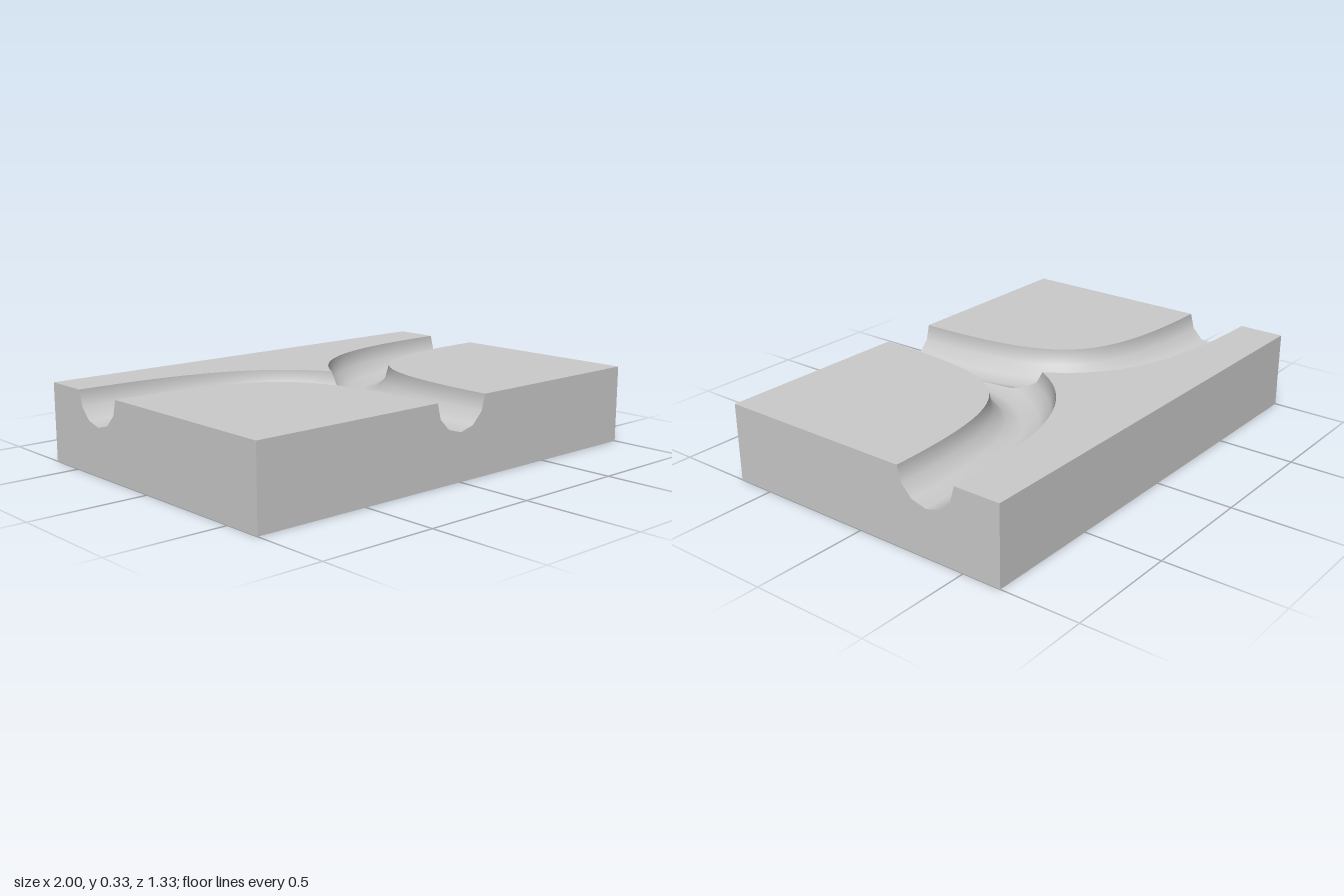
import * as THREE from 'three';

const W = 1, D = 2 / 3, H = 1 / 3; // half width, half depth, height
const R = 0.133, SIDES = 6, STEPS = 40; // groove radius and resolution

// Centre line of the right-hand branch in (x, z)
const path = new THREE.CubicBezierCurve(
  new THREE.Vector2(0, D), new THREE.Vector2(0, D - 0.8),
  new THREE.Vector2(0.2, D - 1), new THREE.Vector2(1, D - 1));

// Point at parameter t, offset sideways (positive = inside of the bend)
function offset(t, d) {
  const p = path.getPoint(t), n = path.getTangent(t);
  return new THREE.Vector2(p.x - n.y * d, p.y + n.x * d);
}

// Parameter where the outer rim meets the middle: the tip of the fork
function findTip() {
  let lo = 0, hi = 1;
  for (let i = 0; i < 40; i++) {
    const m = (lo + hi) / 2;
    if (offset(m, -R).x < 0) lo = m; else hi = m;
  }
  return hi;
}

// Half-round trough swept along the path, cut off at x = 0; s = -1 mirrors it
function grooveGeometry(ts, s) {
  const pos = [], nor = [], idx = [], row = SIDES + 1;
  ts.forEach((t, i) => {
    const tan = path.getTangent(t);
    let last = null;
    for (let j = 0; j <= SIDES; j++) {
      const a = (j / SIDES) * Math.PI;
      const q = offset(t, R * Math.cos(a));
      let p = new THREE.Vector3(q.x, H - R * Math.sin(a), q.y);
      let n = new THREE.Vector3(tan.y * Math.cos(a), Math.sin(a), -tan.x * Math.cos(a));
      if (p.x < 0 && last) {
        const k = last.p.x > 1e-9 ? last.p.x / (last.p.x - p.x) : 0;
        p = last.p.clone().lerp(p, k);
        n = last.n.clone().lerp(n, k).normalize();
        p.x = 0;
      }
      last = { p, n };
      pos.push(s * p.x, p.y, p.z);
      nor.push(s * n.x, n.y, n.z);
      if (i && j) {
        const d = i * row + j, c = d - 1, b = d - row, e = b - 1;
        if (s > 0) idx.push(e, c, b, b, c, d);
        else idx.push(e, b, c, b, d, c);
      }
    }
  });
  const g = new THREE.BufferGeometry();
  g.setAttribute('position', new THREE.Float32BufferAttribute(pos, 3));
  g.setAttribute('normal', new THREE.Float32BufferAttribute(nor, 3));
  g.setIndex(idx);
  return g;
}

// Upright wall, with a half-round notch in its top edge unless notch is null
function wallGeometry(half, notch, angle, distance) {
  const pts = [[-half, H], [-half, 0], [half, 0], [half, H]];
  if (notch !== null) {
    for (let j = 0; j <= SIDES; j++) {
      const a = (j / SIDES) * Math.PI;
      pts.push([notch + R * Math.cos(a), H - R * Math.sin(a)]);
    }
  }
  const shape = new THREE.Shape(pts.map(p => new THREE.Vector2(...p)));
  return new THREE.ShapeGeometry(shape).translate(0, 0, distance).rotateY(angle);
}

// Flat top piece from an (x, z) outline
function topGeometry(outline) {
  const shape = new THREE.Shape(outline.map(p => new THREE.Vector2(p.x, -p.y)));
  return new THREE.ShapeGeometry(shape).rotateX(-Math.PI / 2).translate(0, H, 0);
}

export function createModel() {
  const group = new THREE.Group();
  const material = new THREE.MeshStandardMaterial({ color: 0xcccccc });
  const add = (name, geometry) => {
    const mesh = new THREE.Mesh(geometry, material);
    mesh.name = name;
    group.add(mesh);
  };
  const v = (x, z) => new THREE.Vector2(x, z);
  const flip = p => v(-p.x, p.y);

  // Path samples, including the exact fork tip
  const tip = findTip();
  const ts = [tip];
  for (let i = 0; i <= STEPS; i++) ts.push(i / STEPS);
  ts.sort((a, b) => a - b);

  // Forked groove
  add('grooveLeft', grooveGeometry(ts, 1));
  add('grooveRight', grooveGeometry(ts, -1));

  // Top faces either side of the stem
  const inner = [...ts.map(t => offset(t, R)), v(W, D)];
  add('topFrontLeft', topGeometry(inner));
  add('topFrontRight', topGeometry(inner.map(flip)));

  // Top face behind the fork
  const outer = ts.filter(t => t >= tip).map(t => offset(t, -R));
  add('topBack', topGeometry([
    ...outer, v(W, -D), v(-W, -D), ...outer.slice(1).reverse().map(flip)]));

  // Walls and underside
  add('frontWall', wallGeometry(W, 0, 0, D));
  add('backWall', wallGeometry(W, null, Math.PI, D));
  add('leftWall', wallGeometry(D, 1 - D, Math.PI / 2, W));
  add('rightWall', wallGeometry(D, D - 1, -Math.PI / 2, W));
  add('underside', new THREE.PlaneGeometry(2 * W, 2 * D).rotateX(Math.PI / 2));
  return group;
}
